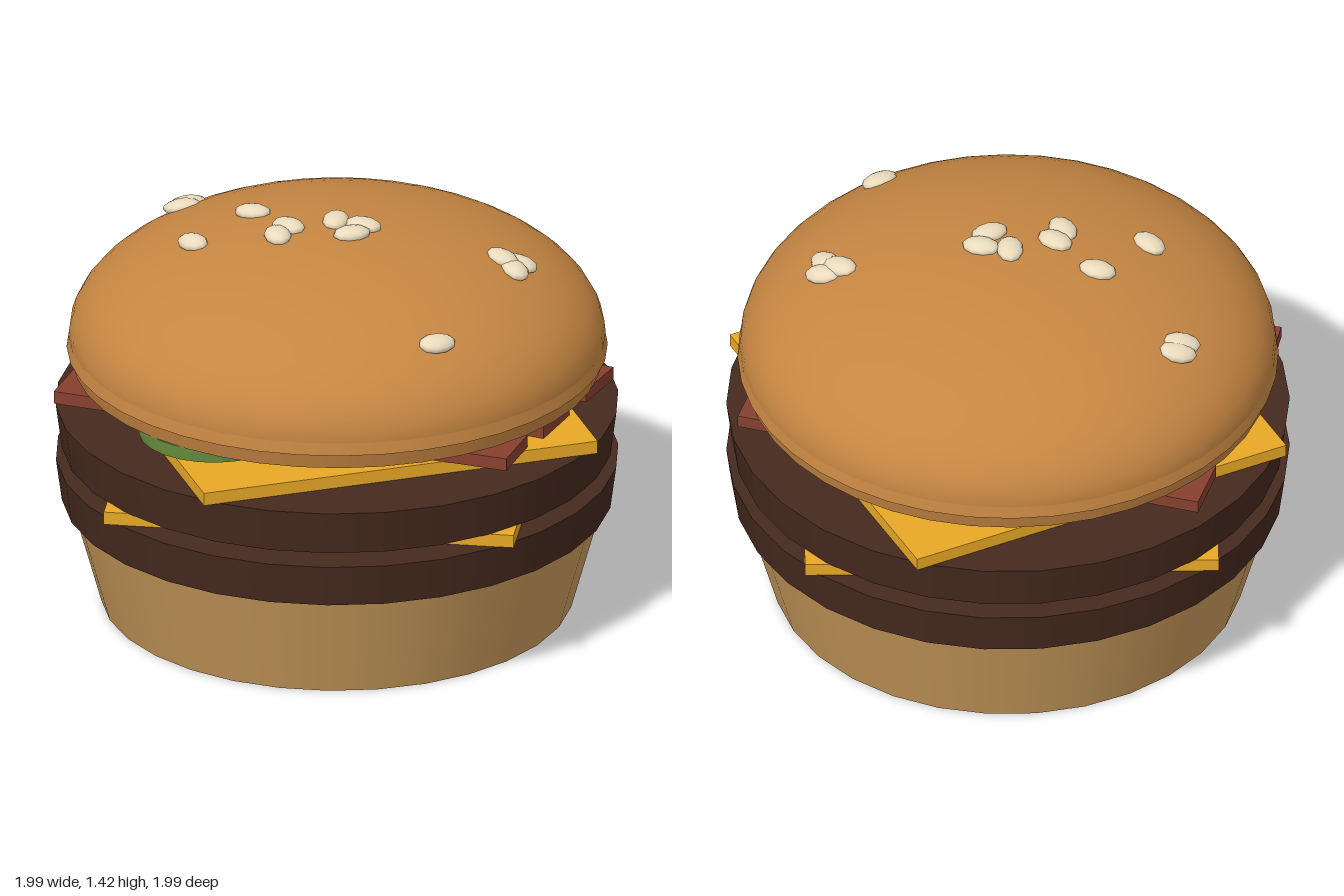
import * as THREE from 'three';

const SIDES = 30;
const mat = (color) => new THREE.MeshStandardMaterial({ color });
const bunMat = mat(0xc68642);
const bottomBunMat = mat(0xc99a5b);
const pattyMat = mat(0x45291e);
const cheeseMat = mat(0xe8a826);
const baconMat = mat(0x87402f);
const pickleMat = mat(0x64893c);
const seedMat = mat(0xeadbbd);

export function createModel() {
  const model = new THREE.Group();

  const add = (name, geometry, material, x, y, z, yaw = 0) => {
    const mesh = new THREE.Mesh(geometry, material);
    mesh.name = name;
    mesh.position.set(x, y, z);
    mesh.rotation.y = yaw;
    model.add(mesh);
    return mesh;
  };
  // Round layer between two heights
  const disc = (name, material, y0, y1, r0, r1, sides = SIDES) =>
    add(name, new THREE.CylinderGeometry(r1, r0, y1 - y0, sides), material, 0, (y0 + y1) / 2, 0);

  // Bottom bun and the two patties
  disc('bottomBun', bottomBunMat, 0, 0.385, 0.805, 0.912);
  disc('lowerPatty', pattyMat, 0.38, 0.53, 0.94, 0.96);
  disc('upperPatty', pattyMat, 0.575, 0.73, 0.94, 0.96);

  // Square cheese slices, turned differently
  const slice = new THREE.BoxGeometry(1.41, 0.046, 1.41);
  add('lowerCheese', slice, cheeseMat, 0, 0.553, 0, 0.317);
  add('upperCheese', slice, cheeseMat, 0, 0.752, 0, 0.768);

  // Bacon strips
  const strip = new THREE.BoxGeometry(1.64, 0.045, 0.213);
  [[0.36, 0.107], [0, 0.03], [-0.36, 0]].forEach(([z, yaw]) =>
    add('baconStrip', strip, baconMat, 0, 0.798, z, yaw));

  // Pickle slices
  const pickle = new THREE.CylinderGeometry(0.255, 0.255, 0.048, 24);
  [[-0.16, 0.63, 0.852], [-0.15, 0.49, 0.85], [0.59, -0.15, 0.852]].forEach(([x, z, y]) =>
    add('pickle', pickle, pickleMat, x, y, z));

  // Top bun: base, rim and dome
  const R = 0.915, H = 0.412, domeY = 0.973;
  disc('topBunBase', bunMat, 0.875, 0.935, 0.9, 0.915, 40);
  disc('topBunRim', bunMat, 0.93, 0.983, 0.922, 0.912, 40);
  const dome = new THREE.SphereGeometry(1, 40, 16, 0, Math.PI * 2, 0, Math.PI / 2);
  dome.scale(R, H, R);
  add('topBunDome', dome, bunMat, 0, domeY, 0);

  // Sesame seeds laid on the dome: x, z, yaw in degrees
  const seeds = [
    [-0.67, -0.21, 15], [-0.67, -0.165, 20], [-0.32, 0, 0], [-0.43, 0.24, -30],
    [-0.14, 0.09, -20], [-0.145, 0.165, -50], [-0.01, -0.01, -70], [0.09, -0.02, 0],
    [0.085, 0.06, 45], [0.55, -0.16, -20], [0.6, -0.19, 0], [0.61, -0.13, -40], [0.59, 0.43, 50],
  ];
  const seedGeo = new THREE.SphereGeometry(1, 10, 8);
  seedGeo.scale(0.066, 0.026, 0.046);
  const up = new THREE.Vector3(0, 1, 0);
  for (const [x, z, deg] of seeds) {
    const h = H * Math.sqrt(1 - (x * x + z * z) / (R * R));
    const seed = add('sesameSeed', seedGeo, seedMat, x, domeY + h + 0.005, z);
    // Lean part of the way toward the dome's slope
    const lean = new THREE.Vector3(x / (R * R), h / (H * H), z / (R * R)).normalize().add(up).normalize();
    seed.quaternion.setFromUnitVectors(up, lean)
      .multiply(new THREE.Quaternion().setFromAxisAngle(up, THREE.MathUtils.degToRad(deg)));
  }

  return model;
}
